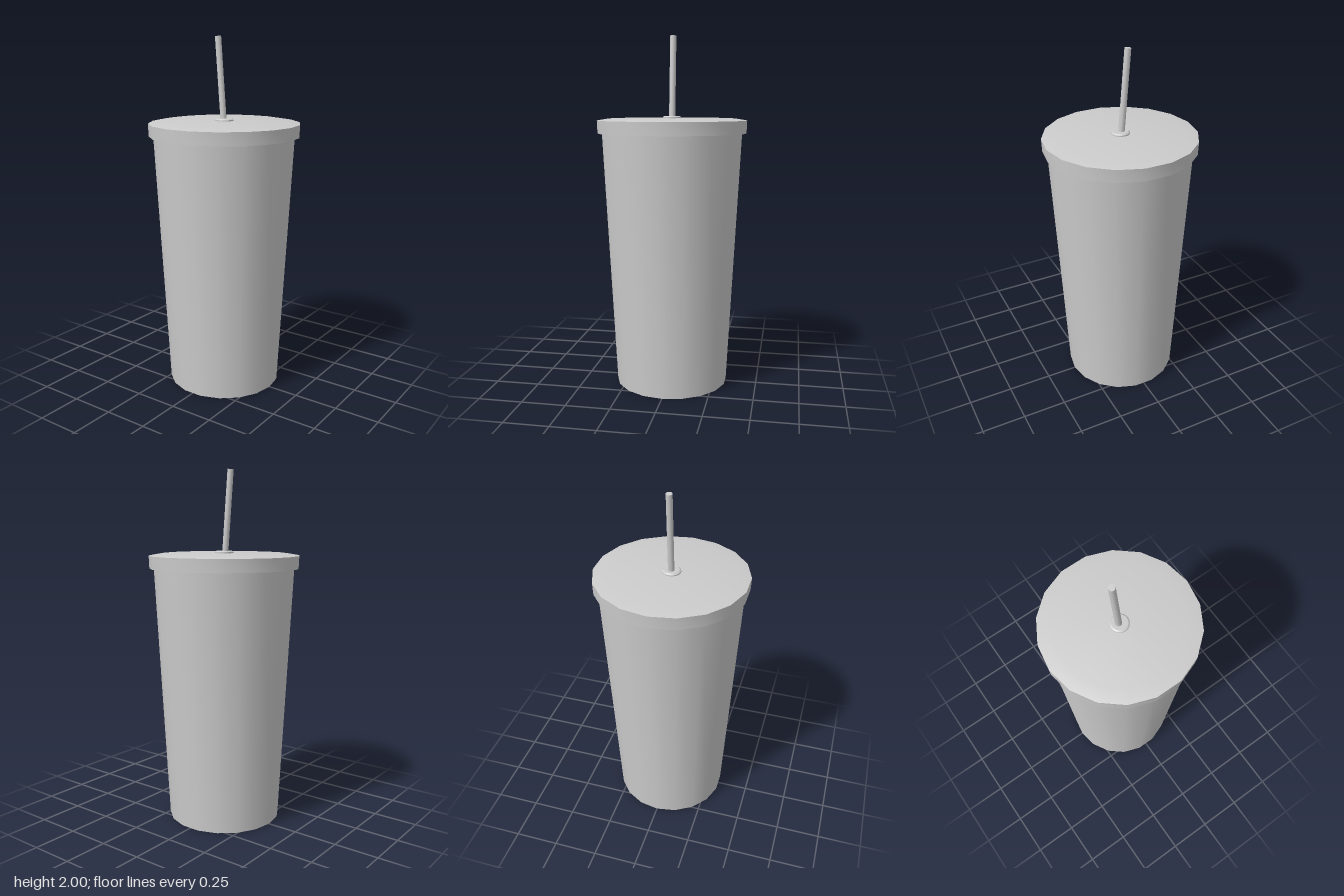
import * as THREE from 'three';
import { toCreasedNormals } from 'three/addons/utils/BufferGeometryUtils.js';

const material = new THREE.MeshStandardMaterial({ color: 0xcccccc, side: THREE.DoubleSide });

// Revolve a [radius, height] profile, keeping its rims sharp and its sides smooth
function turned(name, profile, sides) {
  const points = profile.map(([r, y]) => new THREE.Vector2(r, y));
  const geometry = new THREE.LatheGeometry(points, sides, Math.PI / 2);
  const mesh = new THREE.Mesh(toCreasedNormals(geometry, 0.6), material);
  mesh.name = name;
  return mesh;
}

export function createModel() {
  const model = new THREE.Group();
  model.name = 'tumbler';
  const sides = 18;

  // Tapered cup with a flat base
  model.add(turned('cup', [[0, 0], [0.323, 0], [0.4, 1.47]], sides));

  // Overhanging lid: underside, skirt, shallow bevel and flat top
  model.add(turned('lid', [
    [0.395, 1.455], [0.424, 1.455], [0.427, 1.527], [0.36, 1.538], [0, 1.54],
  ], sides));

  // Raised collar around the straw hole
  model.add(turned('strawCollar', [
    [0.052, 1.535], [0.052, 1.546], [0.044, 1.552], [0, 1.552],
  ], 24));

  // Straw leaning towards the right
  const bottom = new THREE.Vector3(-0.003, 1.5, 0);
  const top = new THREE.Vector3(-0.043, 1.9985, 0);
  const axis = top.clone().sub(bottom);
  const straw = new THREE.Mesh(
    new THREE.CylinderGeometry(0.018, 0.018, axis.length(), 10), material);
  straw.name = 'straw';
  straw.position.copy(bottom).add(top).multiplyScalar(0.5);
  straw.quaternion.setFromUnitVectors(new THREE.Vector3(0, 1, 0), axis.normalize());
  model.add(straw);

  return model;
}
